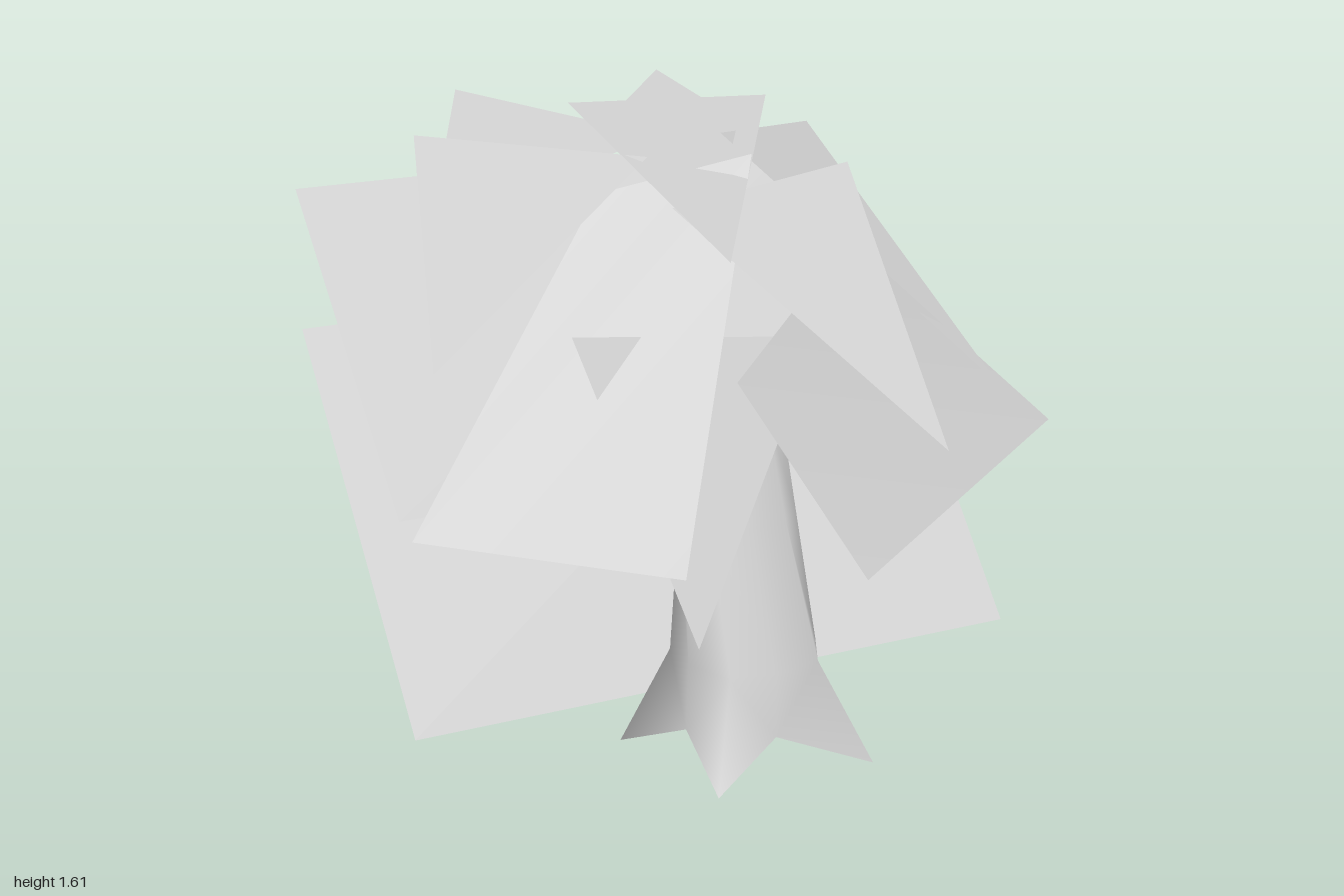
import * as THREE from 'three';

export function createModel() {
  const group = new THREE.Group();
  const grey = new THREE.MeshStandardMaterial({ color: 0xcccccc, side: THREE.DoubleSide });
  grey.name = 'plain grey';

  // Thin sheet fanned from its corners
  function sheet(name, ...corners) {
    const geo = new THREE.BufferGeometry();
    geo.setAttribute('position', new THREE.Float32BufferAttribute(corners.flat(), 3));
    const index = [];
    for (let i = 1; i < corners.length - 1; i++) index.push(0, i, i + 1);
    geo.setIndex(index);
    geo.computeVertexNormals();
    const mesh = new THREE.Mesh(geo, grey);
    mesh.name = name;
    group.add(mesh);
  }

  // Two large leaning backing sheets
  sheet('lowerBackSheet', [-0.965, 0.1, 0.26], [0.83, 0.1, 0.27], [0.815, 1.01, -0.51], [-0.985, 1.01, -0.52]);
  sheet('upperBackSheet', [-0.875, 0.58, -0.07], [0.755, 0.58, -0.06], [0.745, 1.325, -0.84], [-0.89, 1.325, -0.845]);

  // Canopy leaves
  sheet('crownLeaf', [-0.245, 1.607, -0.36], [-0.2, 1.375, 0.56], [0.38, 1.57, -0.385]);
  sheet('frontLeaf', [0.28, 0.895, 0.83], [0.37, 1.48, 0.12], [-0.19, 1.43, 0.2]);
  sheet('rightFrontLeaf', [-1, 0.72, 0.41], [-0.43, 0.657, 0.785], [0.1, 1.52, 0.08], [-0.32, 1.44, 0.01]);
  sheet('leftFrontLeaf', [0.99, 0.682, 0.23], [0.34, 1.283, 0.19], [-0.125, 1.02, 0.45], [0.125, 0.525, 0.71]);
  sheet('leftSideLeaf', [0.735, 0.865, 0.34], [0.555, 1.463, -0.46], [0.095, 1.542, -0.1]);
  sheet('rightSideLeaf', [-0.685, 1.553, -0.385], [-0.88, 1.095, 0.27], [-0.17, 1.522, 0]);
  sheet('lowInnerLeaf', [-0.34, 0.405, 0.67], [0.175, 1.07, 0.33], [-0.515, 1.15, 0.29]);
  sheet('leftBackLeaf', [0.23, 1.582, -0.81], [-0.07, 1.53, -0.475], [0.56, 1.315, -0.22]);
  sheet('rightBackLeaf', [-0.41, 1.577, -0.81], [-0.74, 1.33, -0.14], [0.02, 1.49, -0.37]);

  // Trunk: half rings of [x offset, y, z] from front to back, mirrored across its middle
  const middle = -0.08;
  const halfRings = [
    [[0, 0.07, 0.6], [0.228, 0, 0.72], [0.2, 0.075, 0.465], [0.323, 0, 0.31], [0, 0.07, 0.35]],
    [[0, 0.25, 0.6], [0.13, 0.26, 0.585], [0.19, 0.26, 0.46], [0.19, 0.26, 0.345], [0, 0.26, 0.335]],
    [[0, 0.61, 0.44], [0.11, 0.61, 0.43], [0.165, 0.61, 0.385], [0.16, 0.61, 0.335], [0, 0.61, 0.33]],
    [[0, 0.88, 0.34], [0.1, 0.88, 0.335], [0.15, 0.88, 0.32], [0.14, 0.88, 0.305], [0, 0.88, 0.3]],
  ];
  const points = [];
  for (const half of halfRings) {
    for (const [x, y, z] of half) points.push(middle + x, y, z);
    for (let i = 3; i > 0; i--) points.push(middle - half[i][0], half[i][1], half[i][2]);
  }
  const faces = [];
  for (let r = 0; r < halfRings.length - 1; r++) {
    for (let i = 0; i < 8; i++) {
      const a = r * 8 + i, b = r * 8 + (i + 1) % 8;
      // Diagonals mirror about each root so the flares stay symmetrical
      if (i % 2) faces.push(a, b, a + 8, b, b + 8, a + 8);
      else faces.push(a, b, b + 8, a, b + 8, a + 8);
    }
  }
  const trunkGeo = new THREE.BufferGeometry();
  trunkGeo.setAttribute('position', new THREE.Float32BufferAttribute(points, 3));
  trunkGeo.setIndex(faces);
  trunkGeo.computeVertexNormals();
  const trunk = new THREE.Mesh(trunkGeo, grey);
  trunk.name = 'trunk';
  group.add(trunk);

  return group;
}
